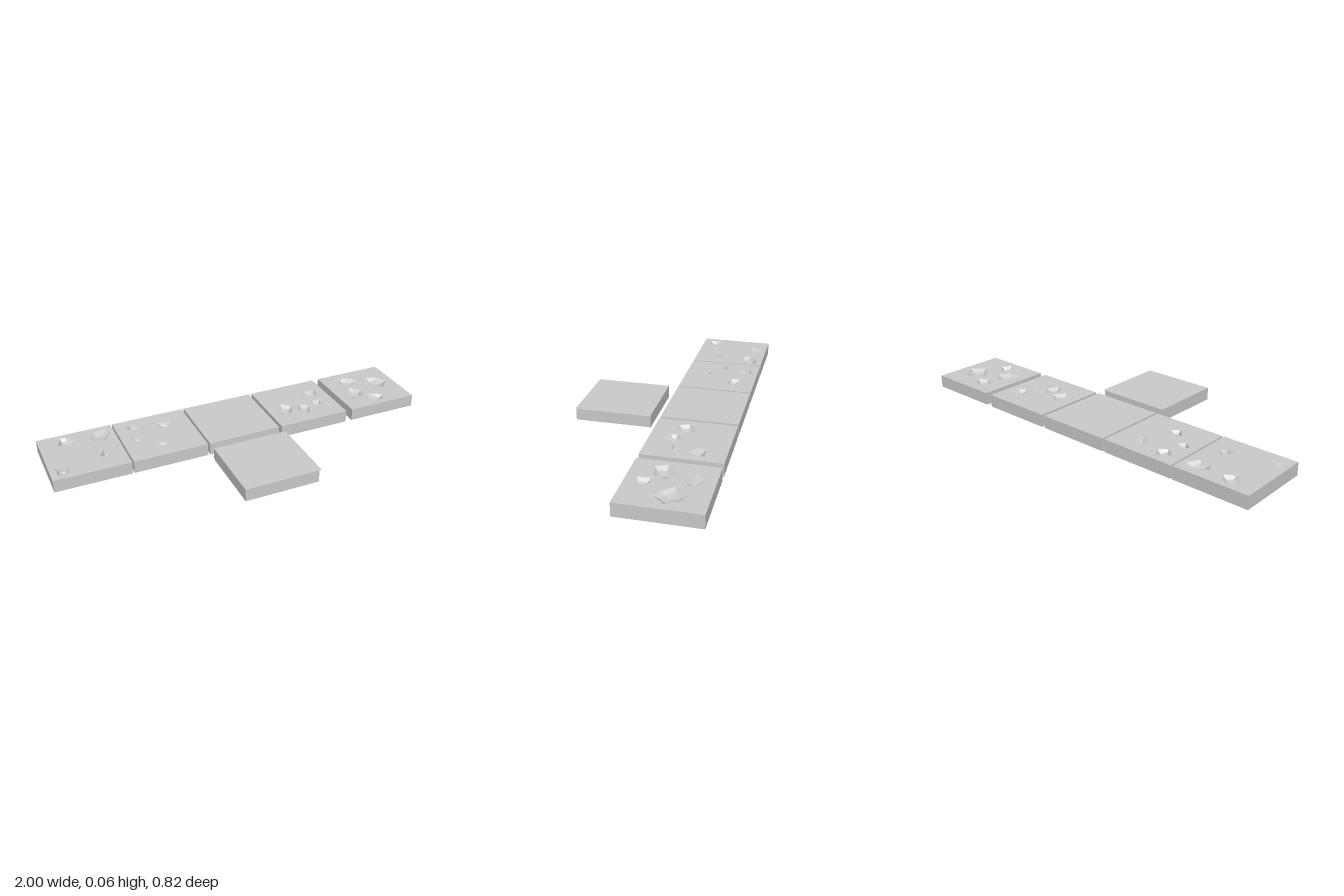
import * as THREE from 'three';

const H = 0.065, SIZE = 0.385, UNIT = SIZE / 72;
const material = new THREE.MeshStandardMaterial({ color: 0xcccccc, flatShading: true });
const thinMaterial = new THREE.MeshStandardMaterial({ color: 0xcccccc, side: THREE.DoubleSide });

// Chip outlines, clockwise from above, on a 72 x 72 grid starting at the tile's back corner
const chipsA = [
  [[21, 5], [27, 6], [34, 15], [25, 20], [17, 17]],
  [[53, 8], [66, 5], [68, 13], [61, 24], [50, 22], [46, 14]],
  [[54, 41], [59, 48], [56, 54], [48, 51]],
  [[6, 53], [11, 57], [18, 57], [16, 65], [7, 65]],
];
const chipsB = [
  [[14, 8], [21, 5], [26, 16], [19, 22], [10, 15]],
  [[41, 15], [48, 17], [56, 17], [57, 25], [49, 26], [42, 24]],
  [[7, 35], [13, 31], [20, 36], [15, 40]],
  [[26, 49], [32, 47], [41, 52], [35, 58]],
];
const chipsC = [
  [[18, 32], [27, 40], [21, 52], [10, 51], [7, 42]],
  [[36, 39], [43, 47], [38, 59], [30, 54], [29, 49]],
  [[51, 19], [64, 18], [63, 29], [57, 33], [49, 25]],
  [[51, 39], [58, 42], [56, 48], [49, 48]],
];
const chipsD = [
  [[20, 10], [30, 12], [36, 19], [27, 25], [15, 20]],
  [[49, 18], [58, 22], [65, 33], [54, 44], [46, 39], [37, 29]],
  [[20, 30], [29, 40], [25, 51], [10, 54], [5, 43]],
  [[29, 51], [37, 51], [45, 58], [39, 66], [30, 63]],
];

// Faceted hollow: steep rim wall, then a shallow floor meeting at a deeper point
function chipGeometry(outline) {
  const n = outline.length;
  const cx = outline.reduce((s, p) => s + p[0], 0) / n;
  const cz = outline.reduce((s, p) => s + p[1], 0) / n;
  const rim = outline.map(([x, z]) => [x * UNIT, H, z * UNIT]);
  const inner = outline.map(([x, z], i) => {
    const k = i % 2 ? 0.72 : 0.6;
    return [(cx + (x - cx) * k) * UNIT, H - (i % 2 ? 0.012 : 0.017), (cz + (z - cz) * k) * UNIT];
  });
  const centre = [cx * UNIT, H - 0.022, cz * UNIT];
  const pos = [];
  for (let i = 0; i < n; i++) {
    const j = (i + 1) % n;
    pos.push(...rim[j], ...rim[i], ...inner[i]);
    pos.push(...rim[j], ...inner[i], ...inner[j]);
    pos.push(...centre, ...inner[j], ...inner[i]);
  }
  const g = new THREE.BufferGeometry();
  g.setAttribute('position', new THREE.Float32BufferAttribute(pos, 3));
  g.computeVertexNormals();
  return g;
}

function makeTile(name, x, z, chips) {
  const tile = new THREE.Group();
  tile.name = name;
  tile.position.set(x, 0, z);
  const add = (geometry, partName) => {
    const mesh = new THREE.Mesh(geometry, material);
    mesh.name = partName;
    tile.add(mesh);
  };

  // Slab without its top face
  const slab = new THREE.BoxGeometry(SIZE, H, SIZE).translate(SIZE / 2, H / 2, SIZE / 2);
  const index = Array.from(slab.index.array);
  index.splice(12, 6);
  slab.setIndex(index);
  slab.clearGroups();
  add(slab, 'slab');

  // Top face, pierced where chips are missing
  const toPoints = pts => pts.map(([px, pz]) => new THREE.Vector2(px * UNIT, -pz * UNIT));
  const top = new THREE.Shape(toPoints([[0, 0], [0, 72], [72, 72], [72, 0]]));
  chips.forEach(c => top.holes.push(new THREE.Path(toPoints(c))));
  add(new THREE.ShapeGeometry(top).rotateX(-Math.PI / 2).translate(0, H, 0), 'topFace');

  chips.forEach((c, i) => add(chipGeometry(c), 'chip' + (i + 1)));
  return tile;
}

export function createModel() {
  const model = new THREE.Group();
  model.name = 'floorTiles';

  // Back row of five tiles, the middle one intact
  const row = [[-1, chipsA], [-0.606, chipsB], [-0.209, []], [0.193, chipsC], [0.615, chipsD]];
  row.forEach(([x, chips], i) => model.add(makeTile('rowTile' + (i + 1), x, -0.41, chips)));

  // Single plain tile in front, with a thin lip along its left edge
  const front = makeTile('frontTile', -0.209, 0.025, []);
  const lip = new THREE.Mesh(new THREE.PlaneGeometry(0.012, SIZE), thinMaterial);
  lip.name = 'topLip';
  lip.rotation.x = -Math.PI / 2;
  lip.position.set(SIZE + 0.006, H, SIZE / 2);
  front.add(lip);
  model.add(front);
  return model;
}
